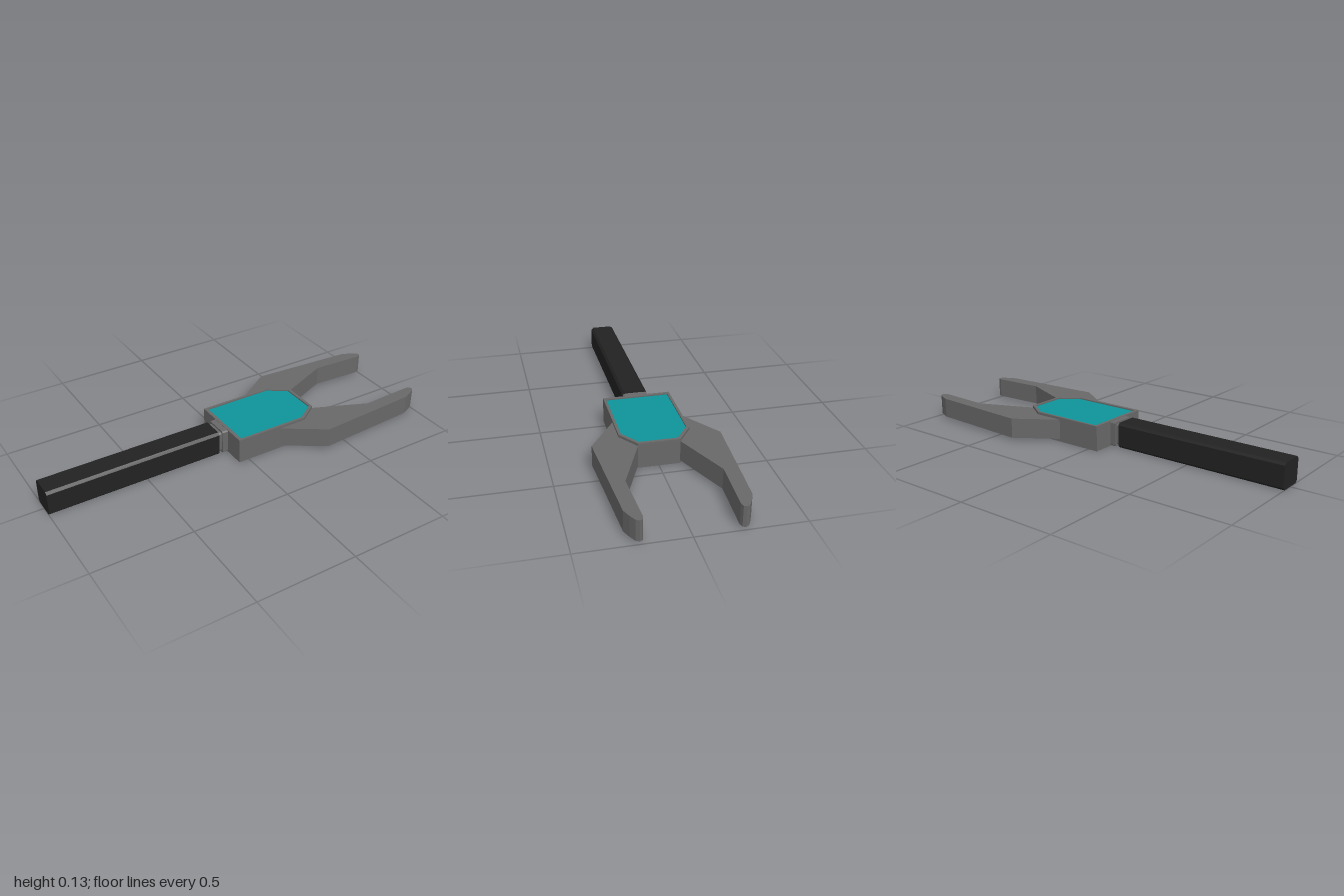
import * as THREE from 'three';

const metal = new THREE.MeshStandardMaterial({ color: 0x686868, flatShading: true });
const rubber = new THREE.MeshStandardMaterial({ color: 0x222222, flatShading: true });
const teal = new THREE.MeshStandardMaterial({ color: 0x0f9499, flatShading: true });

const toPoints = (list) => list.map(([x, z]) => new THREE.Vector2(x, -z));

// Plate with an outline in x/z, standing from y0 to y1
function plate(name, outline, y0, y1, material, hole) {
  const shape = new THREE.Shape(toPoints(outline));
  if (hole) shape.holes.push(new THREE.Path(toPoints(hole)));
  const geometry = new THREE.ExtrudeGeometry(shape, { depth: y1 - y0, bevelEnabled: false });
  geometry.rotateX(-Math.PI / 2).translate(0, y0, 0);
  const mesh = new THREE.Mesh(geometry, material);
  mesh.name = name;
  return mesh;
}

// Bar along x with chamfered long edges
function bar(name, x0, x1, half, chamfer, material) {
  const c = half - chamfer;
  const section = [[half, c], [c, half], [-c, half], [-half, c], [-half, -c], [-c, -half], [c, -half], [half, -c]];
  const shape = new THREE.Shape(section.map(([a, b]) => new THREE.Vector2(a, b)));
  const geometry = new THREE.ExtrudeGeometry(shape, { depth: x1 - x0, bevelEnabled: false });
  geometry.rotateY(Math.PI / 2).translate(x0, 0.064, 0);
  const mesh = new THREE.Mesh(geometry, material);
  mesh.name = name;
  return mesh;
}

// Rectangle with the two corners at +x cut off
const housing = (x0, xCut, x1, halfWidth, halfTip) => [
  [x0, halfWidth], [xCut, halfWidth], [x1, halfTip],
  [x1, -halfTip], [xCut, -halfWidth], [x0, -halfWidth],
];

export function createModel() {
  const model = new THREE.Group();
  model.name = 'clampMeter';

  // Housing, raised bezel and recessed display
  const outer = housing(-0.055, 0.33, 0.43, 0.17, 0.1);
  const inner = housing(-0.038, 0.322, 0.415, 0.157, 0.092);
  model.add(plate('housing', outer, 0, 0.116, metal));
  model.add(plate('bezel', outer, 0.116, 0.128, metal, inner));
  model.add(plate('display', inner, 0.112, 0.122, teal));

  // Handle and the stepped neck
  model.add(bar('handle', -1, -0.105, 0.064, 0.012, rubber));
  model.add(bar('neck', -0.106, -0.084, 0.053, 0.008, metal));
  model.add(bar('collar', -0.085, -0.054, 0.062, 0.006, metal));

  // Mirrored prongs with rounded tips
  const prong = [
    [0.18, 0.168], [0.385, 0.306], [0.918, 0.273], [0.96, 0.255], [0.99, 0.238],
    [1, 0.222], [0.993, 0.209], [0.975, 0.203], [0.705, 0.217], [0.43, 0.1], [0.3, 0.1],
  ];
  for (const side of [1, -1]) {
    const outline = prong.map(([x, z]) => [x, z * side]);
    model.add(plate(side > 0 ? 'frontProng' : 'backProng', outline, 0.014, 0.1155, metal));
  }
  return model;
}
